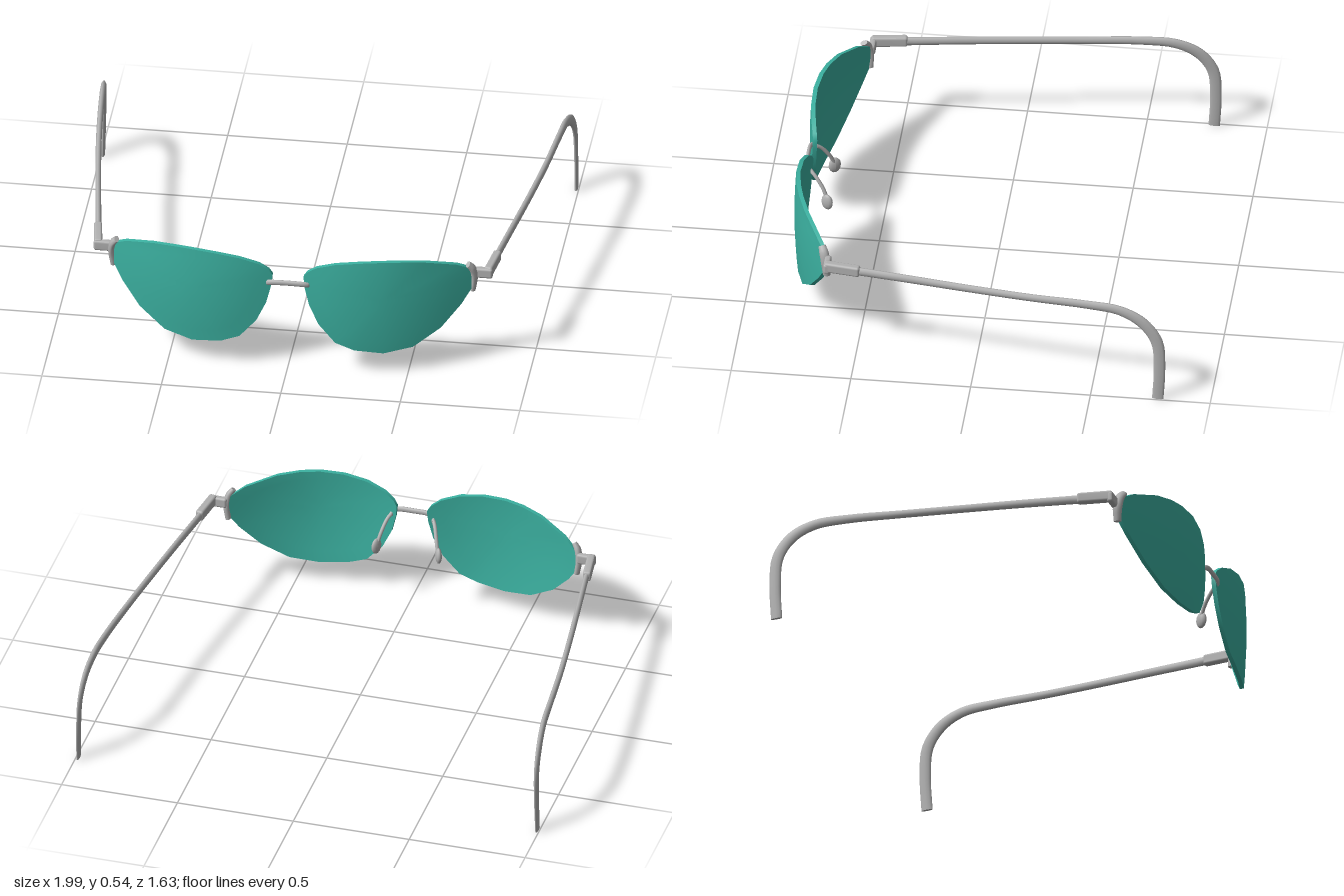
import * as THREE from 'three';
import { mergeVertices } from 'three/addons/utils/BufferGeometryUtils.js';
import { RoundedBoxGeometry } from 'three/addons/geometries/RoundedBoxGeometry.js';

const teal = new THREE.MeshStandardMaterial({ name: 'teal lens', color: 0x3bb0a0 });
const metal = new THREE.MeshStandardMaterial({ name: 'grey metal', color: 0xb2b2b2 });

function toGeometry(pos, idx) {
  const g = new THREE.BufferGeometry();
  g.setAttribute('position', new THREE.Float32BufferAttribute(pos, 3));
  g.setIndex(idx);
  g.computeVertexNormals();
  return g;
}

// Elliptical tube through knots [x, y, z, halfWidth, halfHeight]; width lies along ref
function sweep(knots, steps, ref = new THREE.Vector3(1, 0, 0), sides = 10) {
  const curve = new THREE.CatmullRomCurve3(knots.map(k => new THREE.Vector3(k[0], k[1], k[2])));
  const pos = [], idx = [], rings = [];
  for (let i = 0; i <= steps; i++) {
    const t = i / steps, u = t * (knots.length - 1);
    const k = Math.min(Math.floor(u), knots.length - 2), f = u - k;
    const w = THREE.MathUtils.lerp(knots[k][3], knots[k + 1][3], f);
    const h = THREE.MathUtils.lerp(knots[k][4], knots[k + 1][4], f);
    const p = curve.getPoint(t), T = curve.getTangent(t);
    const side = ref.clone().addScaledVector(T, -ref.dot(T)).normalize();
    const up = T.clone().cross(side);
    const ring = [];
    for (let j = 0; j < sides; j++) {
      const a = j / sides * Math.PI * 2;
      ring.push(p.clone().addScaledVector(side, Math.cos(a) * w).addScaledVector(up, Math.sin(a) * h));
    }
    rings.push(ring);
    ring.forEach(v => pos.push(v.x, v.y, v.z));
  }
  for (let i = 0; i < steps; i++) for (let j = 0; j < sides; j++) {
    const a = i * sides + j, b = i * sides + (j + 1) % sides, c = a + sides, d = b + sides;
    idx.push(a, b, c, b, d, c);
  }
  // end caps with their own vertices
  [[rings[0], true], [rings[steps], false]].forEach(([ring, start]) => {
    const o = pos.length / 3;
    ring.forEach(v => pos.push(v.x, v.y, v.z));
    for (let j = 1; j < sides - 1; j++) idx.push(o, o + (start ? j + 1 : j), o + (start ? j : j + 1));
  });
  return toGeometry(pos, idx);
}

// Curved lens: outline filled with rings, bent by a rule, front, back and rim
function lensGeometry() {
  const outline = [
    [0.765, 0.42], [0.745, 0.455], [0.69, 0.49], [0.57, 0.528], [0.48, 0.541], [0.4, 0.545], [0.3, 0.54],
    [0.2, 0.524], [0.12, 0.495], [0.08, 0.465], [0.065, 0.44], [0.07, 0.39], [0.09, 0.31], [0.13, 0.225],
    [0.2, 0.145], [0.28, 0.115], [0.4, 0.102], [0.52, 0.125], [0.63, 0.2], [0.71, 0.295], [0.75, 0.36],
  ];
  const n = outline.length, layers = 5, cx = 0.4, cy = 0.36, thick = 0.018;
  const bend = (x, y) => 0.818 - 0.76 * (x - 0.27) ** 2 - 0.2 * (y - 0.36) ** 2;
  const pos = [], idx = [];
  for (const back of [false, true]) {
    const o = pos.length / 3;
    const put = (x, y) => pos.push(x, y, bend(x, y) - (back ? thick : 0));
    const tri = (a, b, c) => back ? idx.push(o + a, o + c, o + b) : idx.push(o + a, o + b, o + c);
    put(cx, cy);
    for (let r = 1; r <= layers; r++)
      outline.forEach(([x, y]) => put(cx + (x - cx) * r / layers, cy + (y - cy) * r / layers));
    for (let j = 0; j < n; j++) {
      const k = (j + 1) % n;
      tri(0, 1 + j, 1 + k);
      for (let r = 0; r < layers - 1; r++) {
        const a = 1 + r * n + j, b = 1 + r * n + k;
        tri(a, a + n, b);
        tri(b, a + n, b + n);
      }
    }
  }
  const o = pos.length / 3;
  outline.forEach(([x, y]) => pos.push(x, y, bend(x, y), x, y, bend(x, y) - thick));
  for (let j = 0; j < n; j++) {
    const a = o + 2 * j, b = o + 2 * ((j + 1) % n);
    idx.push(a, a + 1, b, b, a + 1, b + 1);
  }
  return toGeometry(pos, idx);
}

// Mirror across x = 0 and restore the face order
function mirrored(geometry) {
  const g = geometry.index ? geometry.clone() : mergeVertices(geometry);
  g.scale(-1, 1, 1);
  const ix = g.index.array;
  for (let i = 0; i < ix.length; i += 3) [ix[i + 1], ix[i + 2]] = [ix[i + 2], ix[i + 1]];
  g.computeVertexNormals();
  return g;
}

export function createModel() {
  const model = new THREE.Group();
  model.name = 'spectacles';
  const add = (name, geometry, material) => {
    const mesh = new THREE.Mesh(geometry, material);
    mesh.name = name;
    model.add(mesh);
  };
  const pair = (name, geometry, material) => {
    add('left' + name, geometry, material);
    add('right' + name, mirrored(geometry), material);
  };

  pair('Lens', lensGeometry(), teal);

  // Side arm: slim bar curving down behind the ear
  pair('Temple', sweep([
    [0.832, 0.43, 0.5, 0.012, 0.019], [0.865, 0.43, 0.27, 0.012, 0.018], [0.9, 0.428, 0.02, 0.012, 0.017],
    [0.934, 0.427, -0.25, 0.012, 0.017], [0.957, 0.428, -0.48, 0.012, 0.019], [0.969, 0.417, -0.62, 0.012, 0.022],
    [0.979, 0.37, -0.715, 0.011, 0.025], [0.985, 0.285, -0.775, 0.009, 0.026], [0.988, 0.15, -0.787, 0.008, 0.025],
    [0.99, 0.002, -0.78, 0.007, 0.025],
  ], 45), metal);

  // Hinge: lengthwise block and short cross piece
  const hinge = new RoundedBoxGeometry(0.034, 0.046, 0.15, 2, 0.01);
  hinge.rotateY(-0.14);
  hinge.translate(0.826, 0.432, 0.556);
  pair('Hinge', hinge, metal);
  const link = new RoundedBoxGeometry(0.08, 0.046, 0.028, 2, 0.01);
  link.translate(0.795, 0.426, 0.622);
  pair('HingeLink', link, metal);

  // Curved clip gripping the outer edge of the lens
  pair('LensClip', sweep([
    [0.735, 0.478, 0.652, 0.011, 0.016], [0.752, 0.455, 0.642, 0.014, 0.02],
    [0.76, 0.41, 0.633, 0.014, 0.021], [0.752, 0.345, 0.63, 0.012, 0.016],
  ], 12), metal);

  // Bridge: thin bar with ends turned back into the lenses
  const up = new THREE.Vector3(0, 1, 0);
  add('bridge', sweep([
    [-0.093, 0.392, 0.77, 0.01, 0.008], [-0.08, 0.408, 0.792, 0.012, 0.008], [0, 0.413, 0.797, 0.012, 0.008],
    [0.08, 0.408, 0.792, 0.012, 0.008], [0.093, 0.392, 0.77, 0.01, 0.008],
  ], 20, up), metal);

  // Nose pads on thin wires
  pair('NosePadWire', sweep([
    [0.088, 0.4, 0.78, 0.008, 0.008], [0.103, 0.38, 0.755, 0.008, 0.008],
    [0.12, 0.33, 0.72, 0.008, 0.008], [0.132, 0.28, 0.7, 0.008, 0.008],
  ], 10), metal);
  const pad = new THREE.SphereGeometry(1, 12, 8);
  pad.scale(0.014, 0.036, 0.027);
  pad.rotateY(-0.45);
  pad.translate(0.134, 0.275, 0.702);
  pair('NosePad', pad, metal);

  return model;
}
